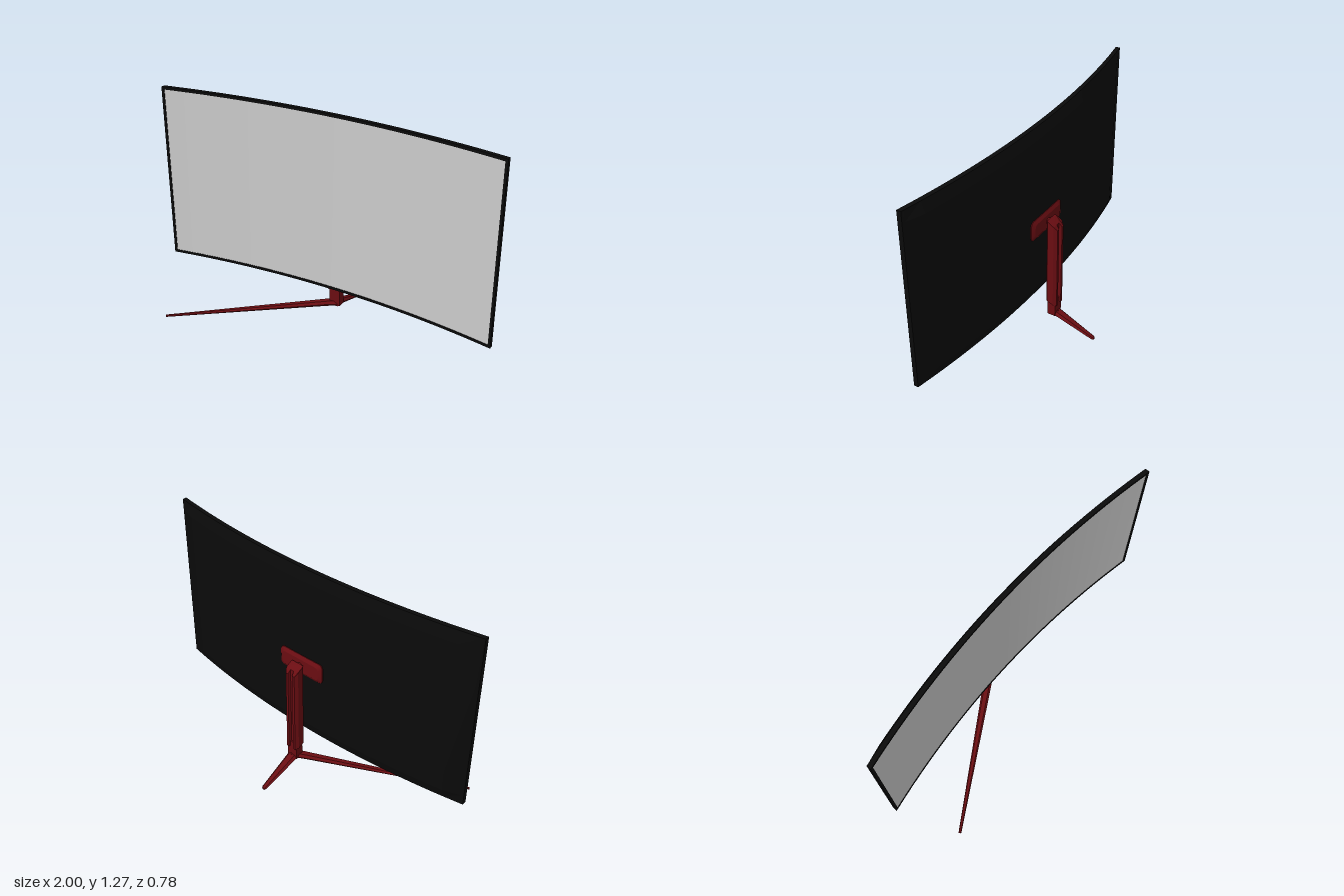
import * as THREE from 'three';
import { toCreasedNormals, mergeVertices } from 'three/addons/utils/BufferGeometryUtils.js';

const black = new THREE.MeshStandardMaterial({ color: 0x0a0a0a });
const red = new THREE.MeshStandardMaterial({ color: 0x6a0d12 });
const grey = new THREE.MeshStandardMaterial({ color: 0xcccccc, side: THREE.DoubleSide });

// Panel measurements
const TOP = 1.275, BOTTOM = 0.245, BEZEL = 0.015, BEVEL = 0.06, RECESS = 0.006;
const curveZ = (x) => -0.025 + 0.095 * x * x;

// Skin a row of closed rings [[x, y, z], ...] and cap both ends
function loft(rings, crease = 0.3) {
  const pos = [], index = [], n = rings[0].length, last = rings.length - 1;
  rings.forEach((r) => r.forEach((p) => pos.push(...p)));
  for (let i = 0; i < last; i++) {
    for (let j = 0; j < n; j++) {
      const k = (j + 1) % n, a = i * n + j, d = i * n + k;
      index.push(a, a + n, d + n, a, d + n, d);
    }
  }
  [0, last].forEach((i) => {
    const centre = pos.length / 3;
    pos.push(...[0, 1, 2].map((c) => rings[i].reduce((s, p) => s + p[c], 0) / n));
    for (let j = 0; j < n; j++) {
      const a = i * n + j, b = i * n + (j + 1) % n;
      index.push(centre, ...(i === 0 ? [a, b] : [b, a]));
    }
  });
  const g = new THREE.BufferGeometry();
  g.setAttribute('position', new THREE.Float32BufferAttribute(pos, 3));
  g.setIndex(index);
  return toCreasedNormals(g, crease);
}

function add(parent, name, geometry, material) {
  const mesh = new THREE.Mesh(geometry, material);
  mesh.name = name;
  parent.add(mesh);
  return mesh;
}

// Vertical slice of the housing: rim, back bevel and recessed front
function housingSlice(x, recess, backDepth) {
  const z = curveZ(x), lo = BOTTOM + BEZEL, hi = TOP - BEZEL;
  return [
    [TOP, 0], [TOP, 0.025], [TOP - BEVEL, backDepth], [BOTTOM + BEVEL, backDepth],
    [BOTTOM, 0.025], [BOTTOM, 0], [lo, 0], [lo, recess], [hi, recess], [hi, 0],
  ].map(([y, depth]) => [x, y, z - depth]);
}

function housing() {
  const inner = 1 - BEZEL, flat = 0.89, steps = 32;
  const edge = 0.025 + 0.02 * (BEZEL / (1 - flat));
  const rings = [housingSlice(-1, 0, 0.025), housingSlice(-inner, 0, edge), housingSlice(-inner, RECESS, edge)];
  for (let i = 0; i <= steps; i++) rings.push(housingSlice(flat * (2 * i / steps - 1), RECESS, 0.045));
  rings.push(housingSlice(inner, RECESS, edge), housingSlice(inner, 0, edge), housingSlice(1, 0, 0.025));
  return loft(rings, 0.12);
}

// Curved display surface, just in front of the recess floor
function screen() {
  const g = new THREE.PlaneGeometry(2 - 2 * BEZEL, TOP - BOTTOM - 2 * BEZEL, 36, 1);
  g.translate(0, (TOP + BOTTOM) / 2, 0);
  const p = g.attributes.position;
  for (let i = 0; i < p.count; i++) p.setZ(i, curveZ(p.getX(i)) - RECESS + 0.003);
  g.computeVertexNormals();
  return g;
}

// Tapered leg with a ridged top, built along +x
function leg(stations) {
  return loft(stations.map(([x, y, halfW, halfH]) => [
    [halfH, 0.55], [halfH, -0.55], [0, -1], [-halfH, -0.6], [-halfH, 0.6], [0, 1],
  ].map(([dy, w]) => [x, y + dy, w * halfW])));
}

// Grooved upright with a sloping top and bottom
function column() {
  const half = [[0.036, 0.1], [0.042, 0.106], [0.042, 0.144], [0.03, 0.162], [0.015, 0.162], [0.011, 0.145]];
  const outline = [...half, ...half.map(([x, d]) => [-x, d]).reverse()];
  const shape = new THREE.Shape(outline.map(([x, d]) => new THREE.Vector2(x, d)));
  const bottom = 0.19, top = 0.72;
  const g = new THREE.ExtrudeGeometry(shape, { depth: top - bottom, bevelEnabled: false });
  g.rotateX(-Math.PI / 2).translate(0, bottom, 0);
  const p = g.attributes.position;
  for (let i = 0; i < p.count; i++) {
    const t = (-p.getZ(i) - 0.1) / 0.062, y = p.getY(i);
    p.setY(i, y - (y > 0.5 ? 0.045 * t * t : 0.025 * t));
  }
  g.deleteAttribute('normal');
  g.deleteAttribute('uv');
  return toCreasedNormals(mergeVertices(g), 0.3);
}

// Rounded, tapered mounting plate
function mountPlate() {
  const ring = (w, h, r, z) => {
    const pts = [];
    for (let c = 0; c < 4; c++) {
      const sx = c === 0 || c === 3 ? 1 : -1, sy = c < 2 ? 1 : -1;
      for (let k = 0; k <= 4; k++) {
        const a = (c + k / 4) * Math.PI / 2;
        pts.push([sx * (w - r) + r * Math.cos(a), 0.695 + sy * (h - r) + r * Math.sin(a), z]);
      }
    }
    return pts;
  };
  return loft([ring(0.147, 0.06, 0.025, -0.066), ring(0.147, 0.06, 0.025, -0.073), ring(0.125, 0.04, 0.02, -0.085)]);
}

export function createModel() {
  const model = new THREE.Group();
  model.name = 'curvedMonitor';

  const display = new THREE.Group();
  display.name = 'display';
  add(display, 'housing', housing(), black);
  add(display, 'screen', screen(), grey);

  const stand = new THREE.Group();
  stand.name = 'stand';
  add(stand, 'mountPlate', mountPlate(), red);
  const neck = add(stand, 'neck', new THREE.CylinderGeometry(0.018, 0.018, 0.04, 20), red);
  neck.rotation.x = Math.PI / 2;
  neck.position.set(0, 0.695, -0.095);
  add(stand, 'column', column(), red);
  add(stand, 'post', new THREE.BoxGeometry(0.066, 0.11, 0.047), red).position.set(0, 0.147, -0.13);

  // One long leg reaching forward to the side, one short leg to the rear
  const frontLeg = add(stand, 'frontLeg', leg([
    [-0.02, 0.102, 0.032, 0.015], [0.06, 0.096, 0.026, 0.015], [0.985, 0.011, 0.008, 0.005],
  ]), red);
  frontLeg.position.z = -0.13;
  frontLeg.rotation.y = Math.atan2(-0.51, -0.845);
  const rearLeg = add(stand, 'rearLeg', leg([
    [-0.02, 0.1, 0.033, 0.016], [0.03, 0.095, 0.032, 0.015], [0.25, 0.014, 0.016, 0.007], [0.26, 0.011, 0.009, 0.005],
  ]), red);
  rearLeg.position.z = -0.13;
  rearLeg.rotation.y = Math.PI / 2;

  model.add(display, stand);
  return model;
}
